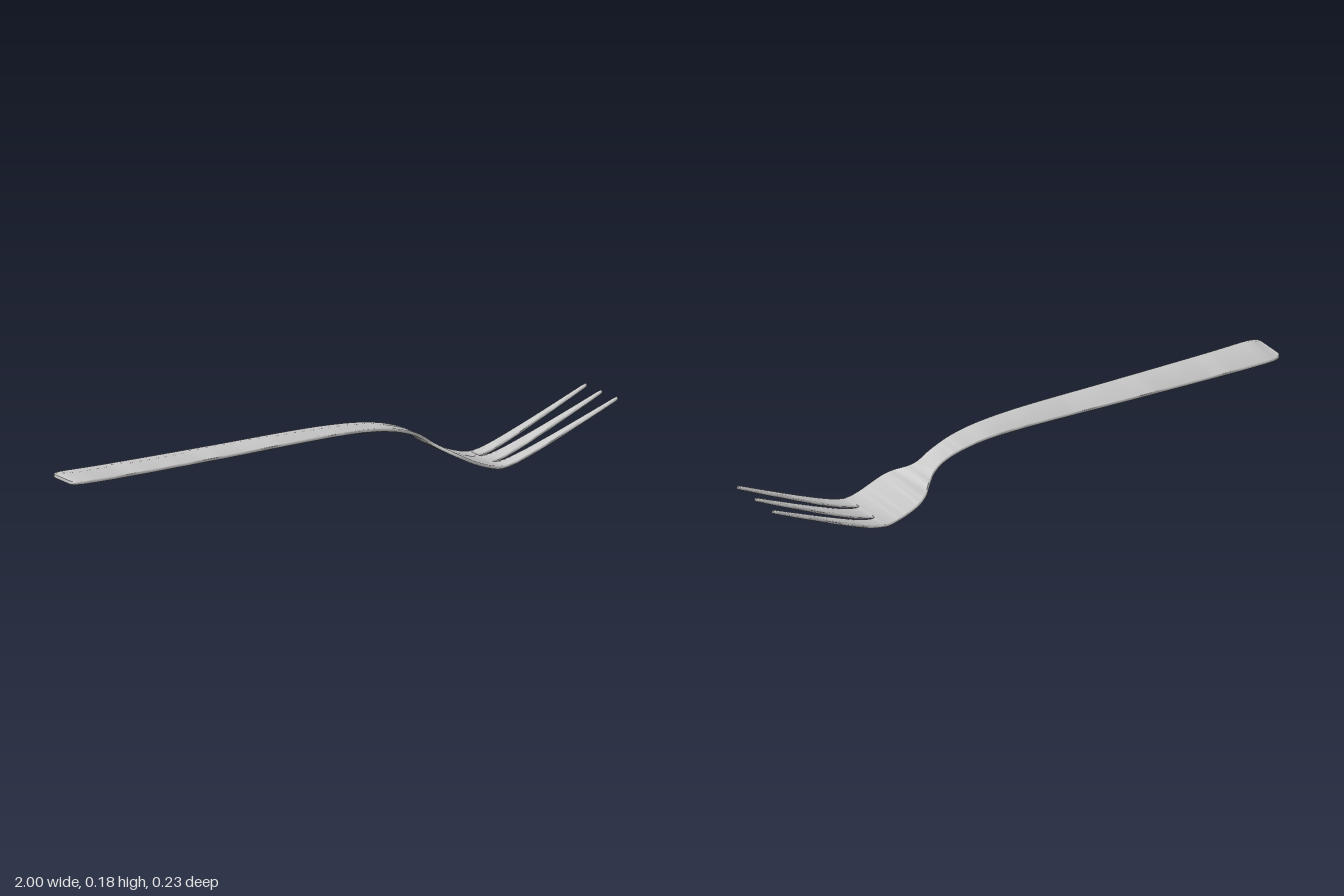
import * as THREE from 'three';
import { toCreasedNormals } from 'three/addons/utils/BufferGeometryUtils.js';

const THICKNESS = 0.011;

// Smooth interpolation of column k through rows sorted by their first value.
function interpolate(rows, k, x) {
  const last = rows.length - 1;
  let i = 0;
  while (i < last - 1 && x > rows[i + 1][0]) i++;
  const slope = (j) => {
    const a = rows[Math.max(j - 1, 0)], b = rows[Math.min(j + 1, last)];
    return (b[k] - a[k]) / (b[0] - a[0]);
  };
  const p = rows[i], q = rows[i + 1], h = q[0] - p[0];
  const t = (x - p[0]) / h, t2 = t * t, t3 = t2 * t;
  return (2 * t3 - 3 * t2 + 1) * p[k] + (t3 - 2 * t2 + t) * h * slope(i)
    + (3 * t2 - 2 * t3) * q[k] + (t3 - t2) * h * slope(i + 1);
}

// Side profile of the fork: x, y
const profile = [
  [-1, 0.14], [-0.8, 0.144], [-0.4, 0.159], [-0.1, 0.172], [0.05, 0.174], [0.15, 0.169],
  [0.23, 0.155], [0.3, 0.13], [0.36, 0.09], [0.45, 0.042], [0.52, 0.016], [0.57, 0.008],
  [0.63, 0.021], [0.75, 0.069], [0.87, 0.122], [1, 0.181],
];
const height = (x) => interpolate(profile, 1, x);

// Bent strip that follows the profile; each section is [x, zMin, zMax].
function strip(name, sections, bevel, material) {
  const positions = [], index = [], h = THICKNESS / 2, n = 8;
  for (const [x, z0, z1] of sections) {
    const slope = (height(x + 0.004) - height(x - 0.004)) / 0.008;
    const len = Math.hypot(1, slope);
    const mid = (z0 + z1) / 2, w = (z1 - z0) / 2;
    const bz = Math.min(w * 0.6, bevel), bn = Math.min(h * 0.6, bevel);
    const loop = [
      [w, -h + bn], [w, h - bn], [w - bz, h], [-w + bz, h],
      [-w, h - bn], [-w, -h + bn], [-w + bz, -h], [w - bz, -h],
    ];
    for (const [dz, dn] of loop) {
      positions.push(x - dn * slope / len, height(x) + dn / len, mid + dz);
    }
  }
  const end = (sections.length - 1) * n;
  for (let i = 0; i < sections.length - 1; i++) {
    for (let j = 0; j < n; j++) {
      const a = i * n + j, b = i * n + (j + 1) % n;
      index.push(a, a + n, b + n, a, b + n, b);
    }
  }
  for (let j = 1; j < n - 1; j++) {
    index.push(0, j, j + 1, end, end + j + 1, end + j);
  }
  const geometry = new THREE.BufferGeometry();
  geometry.setAttribute('position', new THREE.Float32BufferAttribute(positions, 3));
  geometry.setIndex(index);
  const mesh = new THREE.Mesh(toCreasedNormals(geometry, 0.9), material);
  mesh.name = name;
  return mesh;
}

// Resample outline rows smoothly between two x positions.
function resample(rows, from, to, count) {
  return Array.from({ length: count + 1 }, (_, i) => {
    const x = from + (to - from) * i / count;
    return [x, interpolate(rows, 1, x), interpolate(rows, 2, x)];
  });
}

export function createModel() {
  const group = new THREE.Group();
  group.name = 'fork';
  const metal = new THREE.MeshStandardMaterial({ color: 0xcccccc });

  // Handle with rounded end, neck and bowl
  const outline = [
    [-0.94, -0.066, 0.09], [-0.6, -0.063, 0.08], [-0.2, -0.06, 0.067], [0, -0.057, 0.059],
    [0.2, -0.049, 0.047], [0.3, -0.044, 0.041], [0.34, -0.05, 0.046], [0.37, -0.072, 0.067],
    [0.4, -0.099, 0.096], [0.43, -0.113, 0.111], [0.47, -0.117, 0.116], [0.57, -0.115, 0.113],
  ];
  const handleEnd = [
    [-1, -0.04, 0.066], [-0.995, -0.051, 0.077], [-0.985, -0.059, 0.084], [-0.965, -0.064, 0.089],
  ];
  group.add(strip('handleAndBowl', [
    ...handleEnd, ...resample(outline, -0.94, 0.2, 36), ...resample(outline, 0.21, 0.57, 36),
  ], 0.002, metal));

  // Three tapering tines; the edges along a slot start with a rounded notch
  const tines = [
    ['leftTine', 0.043, 0.113, 0.097, true, false],
    ['middleTine', -0.047, 0.043, -0.005, true, true],
    ['rightTine', -0.115, -0.047, -0.106, false, true],
  ];
  const notch = [[0.57, 0.001], [0.572, 0.004], [0.577, 0.006], [0.585, 0.007]];
  for (const [name, z0, z1, tip, lowSlot, highSlot] of tines) {
    const at = (x, inset, half) => {
      const t = (x - 0.57) / 0.43;
      return [x,
        THREE.MathUtils.lerp(z0 + (lowSlot ? inset : 0), tip - half, t),
        THREE.MathUtils.lerp(z1 - (highSlot ? inset : 0), tip + half, t)];
    };
    const rows = notch.map(([x, inset]) => at(x, inset, 0.008));
    for (let i = 1; i <= 20; i++) rows.push(at(0.585 + 0.405 * i / 20, 0.007, 0.008));
    rows.push(at(0.996, 0.007, 0.006), at(1, 0.007, 0.003));
    group.add(strip(name, rows, 0.004, metal));
  }
  return group;
}
